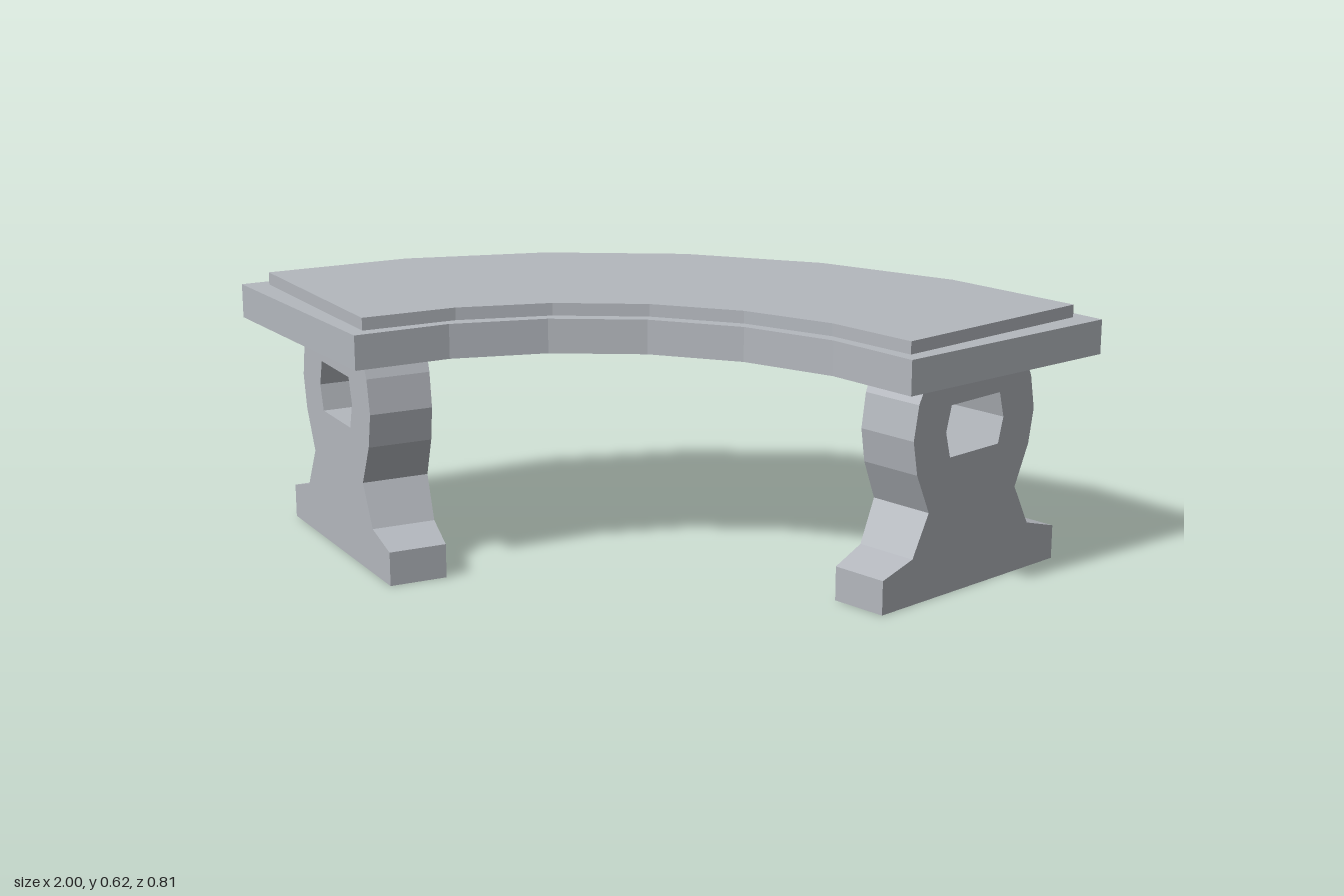
import * as THREE from 'three';

const ARC_CENTRE_Z = 1.04;
const rad = THREE.MathUtils.degToRad;

// Sweeps a (radius, height) profile around the bench's arc centre, from angle a0 to a1 in degrees.
function sweep(shape, a0, a1, steps) {
  const geo = new THREE.ExtrudeGeometry(shape, { depth: 1, steps, bevelEnabled: false });
  const p = geo.attributes.position;
  for (let i = 0; i < p.count; i++) {
    const r = p.getX(i);
    const a = rad(a0 + (a1 - a0) * p.getZ(i));
    p.setXYZ(i, r * Math.sin(a), p.getY(i), ARC_CENTRE_Z - r * Math.cos(a));
  }
  geo.computeVertexNormals();
  return geo;
}

// Closed outline, symmetric about the mid radius, from [halfWidth, y] pairs.
function symmetricPoints(pairs, midR) {
  const right = pairs.map(([w, y]) => new THREE.Vector2(midR + w, y));
  const left = pairs.map(([w, y]) => new THREE.Vector2(midR - w, y)).reverse();
  return [...right, ...left];
}

export function createModel() {
  const group = new THREE.Group();
  group.name = 'curvedBench';

  const stone = new THREE.MeshStandardMaterial({ color: 0xb4b8be, flatShading: true });
  stone.name = 'greyStone';

  const add = (name, geo) => {
    const mesh = new THREE.Mesh(geo, stone);
    mesh.name = name;
    group.add(mesh);
  };

  // Seat: a curved slab with a slightly smaller raised top
  const slab = (r0, r1, y0, y1) =>
    new THREE.Shape(symmetricPoints([[(r1 - r0) / 2, y0], [(r1 - r0) / 2, y1]], (r0 + r1) / 2));
  add('seatSlab', sweep(slab(0.88, 1.45, 0.513, 0.593), -43.55, 43.55, 6));
  add('seatTop', sweep(slab(0.908, 1.414, 0.593, 0.622), -41.4, 41.4, 6));

  // Legs: waisted wedges with a wide foot and a six-sided opening
  const legMid = 1.159;
  const leg = new THREE.Shape(symmetricPoints([
    [0.282, 0], [0.282, 0.08], [0.19, 0.108], [0.142, 0.205],
    [0.183, 0.3], [0.197, 0.38], [0.183, 0.46], [0.158, 0.513],
  ], legMid));
  leg.holes.push(new THREE.Path(symmetricPoints([
    [0.079, 0.32], [0.094, 0.38], [0.079, 0.44],
  ], legMid)));
  add('leftLeg', sweep(leg, 30.4, 39.2, 1));
  add('rightLeg', sweep(leg, -39.2, -30.4, 1));

  return group;
}
